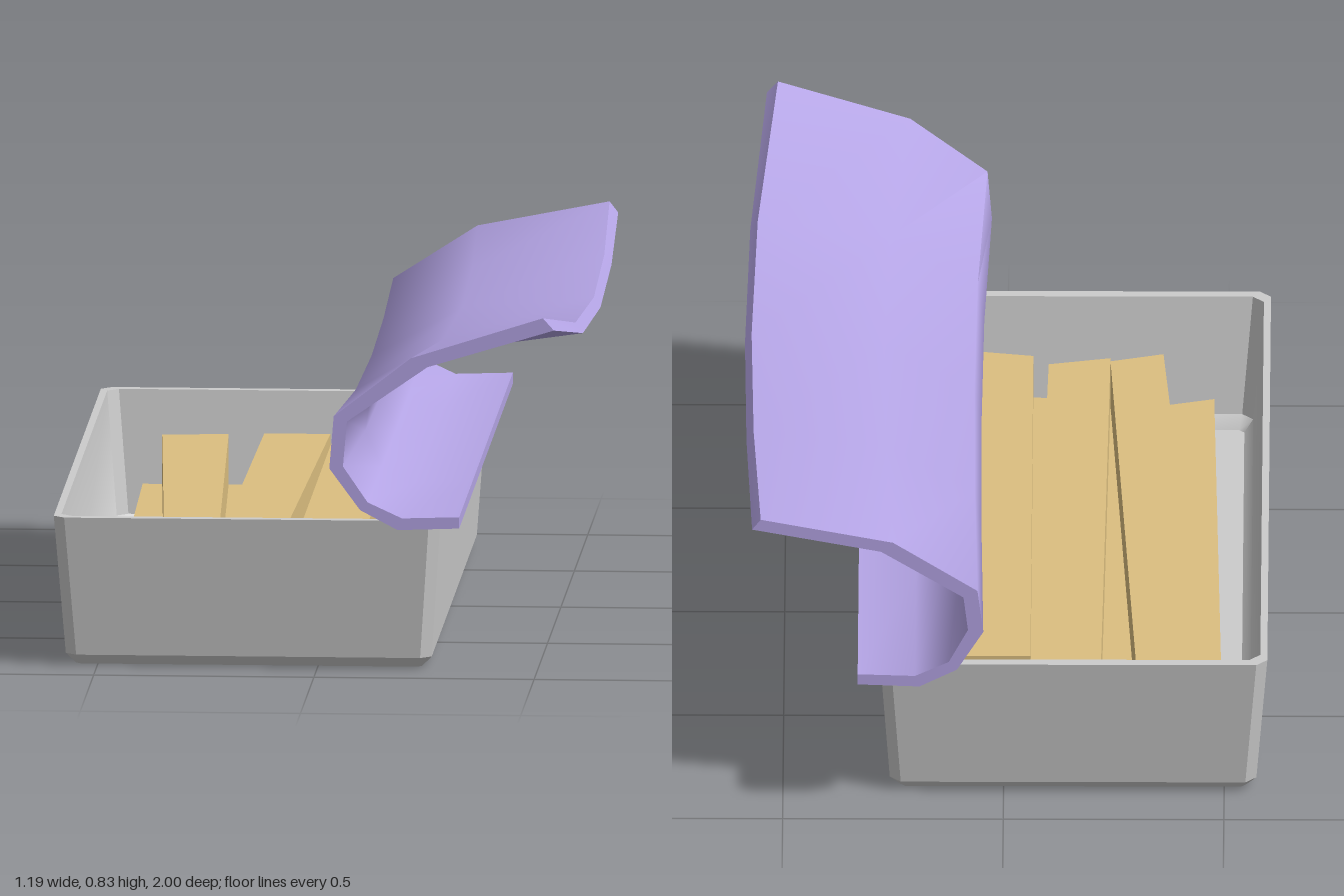
import * as THREE from 'three';
import { toCreasedNormals } from 'three/addons/utils/BufferGeometryUtils.js';

const mat = (color, side = THREE.FrontSide) => new THREE.MeshStandardMaterial({ color, side });

// Skin a series of equal-length closed rings; caps are extra index triples.
function loft(rings, caps, crease) {
  const n = rings[0].length, index = [...caps];
  for (let i = 0; i < rings.length - 1; i++) {
    for (let j = 0; j < n; j++) {
      const k = (j + 1) % n, a = i * n + j, b = i * n + k, c = b + n, d = a + n;
      index.push(a, b, c, a, c, d);
    }
  }
  const g = new THREE.BufferGeometry();
  g.setAttribute('position', new THREE.Float32BufferAttribute(rings.flat(2), 3));
  g.setIndex(index);
  return toCreasedNormals(g, crease);
}

// Rectangle with cut corners at height y
function trayRing(x0, x1, z, y, c) {
  return [
    [x0 + c, y, z], [x1 - c, y, z], [x1, y, z - c], [x1, y, -z + c],
    [x1 - c, y, -z], [x0 + c, y, -z], [x0, y, -z + c], [x0, y, z - c],
  ];
}

function makeTray() {
  const rings = [
    trayRing(-0.55, 0.235, 0.84, 0, 0.012),
    trayRing(-0.573, 0.258, 0.865, 0.024, 0.025),
    trayRing(-0.598, 0.28, 0.903, 0.345, 0.025),
    trayRing(-0.582, 0.264, 0.878, 0.345, 0.025),
    trayRing(-0.558, 0.24, 0.838, 0.065, 0.025),
    trayRing(-0.538, 0.22, 0.808, 0.04, 0.012),
  ];
  const caps = [], last = (rings.length - 1) * 8;
  for (let j = 1; j < 7; j++) {
    caps.push(0, j + 1, j);                       // underside
    caps.push(last, last + j, last + j + 1);      // inner floor
  }
  return loft(rings, caps, 0.6);
}

// Curled sheet: blends between a raised and a relaxed section along z
function makeSheet() {
  const raised = [
    [0.33, 0.345], [0.19, 0.34], [0.105, 0.385], [0.035, 0.48], [0.045, 0.6], [0.22, 0.735], [0.52, 0.83],
    [0.545, 0.802], [0.258, 0.715], [0.075, 0.588], [0.066, 0.485], [0.122, 0.403], [0.2, 0.367], [0.33, 0.371],
  ];
  const relaxed = [
    [0.33, 0.345], [0.19, 0.34], [0.105, 0.382], [0.054, 0.48], [0.07, 0.573], [0.275, 0.686], [0.575, 0.713],
    [0.59, 0.69], [0.293, 0.66], [0.103, 0.552], [0.092, 0.485], [0.125, 0.403], [0.2, 0.367], [0.33, 0.371],
  ];
  const stations = [[1, 1], [0.5, 0.21], [0, 0], [-0.5, 0.125], [-1, 0.46]];
  const rings = stations.map(([z, k]) => relaxed.map(([x, y], i) => [
    x + (raised[i][0] - x) * k, y + (raised[i][1] - y) * k, z,
  ]));
  const caps = [], last = (rings.length - 1) * 14;
  for (let j = 0; j < 6; j++) {
    const a = j, b = j + 1, c = 12 - j, d = 13 - j;
    caps.push(a, c, b, a, d, c);
    caps.push(last + a, last + b, last + c, last + a, last + c, last + d);
  }
  return loft(rings, caps, 0.95);
}

// Plank from four [x, z] corners seen from above
function makePlank(corners, y0, y1) {
  const shape = new THREE.Shape(corners.map(([x, z]) => new THREE.Vector2(x, -z)));
  const g = new THREE.ExtrudeGeometry(shape, { depth: y1 - y0, bevelEnabled: false });
  return g.rotateX(-Math.PI / 2).translate(0, y0, 0);
}

export function createModel() {
  const model = new THREE.Group();
  const add = (parent, name, geometry, material) => {
    const mesh = new THREE.Mesh(geometry, material);
    mesh.name = name;
    parent.add(mesh);
  };

  add(model, 'tray', makeTray(), mat(0xcccccc));
  add(model, 'curledSheet', makeSheet(), mat(0xb5a5e6, THREE.DoubleSide));

  // Two loose layers of planks lying in the tray
  const planks = new THREE.Group();
  planks.name = 'planks';
  const wood = mat(0xdcbf80);
  const lower = [
    [[-0.495, -0.745], [-0.36, -0.735], [-0.345, 0.715], [-0.47, 0.75]],
    [[-0.33, -0.74], [-0.19, -0.755], [-0.18, 0.735], [-0.3, 0.735]],
    [[-0.12, -0.75], [0.01, -0.74], [0.04, 0.765], [-0.13, 0.75]],
  ];
  const upper = [
    [[-0.45, -0.735], [-0.3, -0.75], [-0.235, 0.715], [-0.355, 0.75]],
    [[-0.22, -0.765], [-0.07, -0.765], [-0.095, 0.7], [-0.235, 0.73]],
    [[-0.06, -0.71], [0.09, -0.71], [0.09, 0.765], [-0.06, 0.74]],
  ];
  lower.forEach((c) => add(planks, 'lowerPlank', makePlank(c, 0.04, 0.15), wood));
  upper.forEach((c) => add(planks, 'upperPlank', makePlank(c, 0.15, 0.265), wood));
  model.add(planks);

  return model;
}
